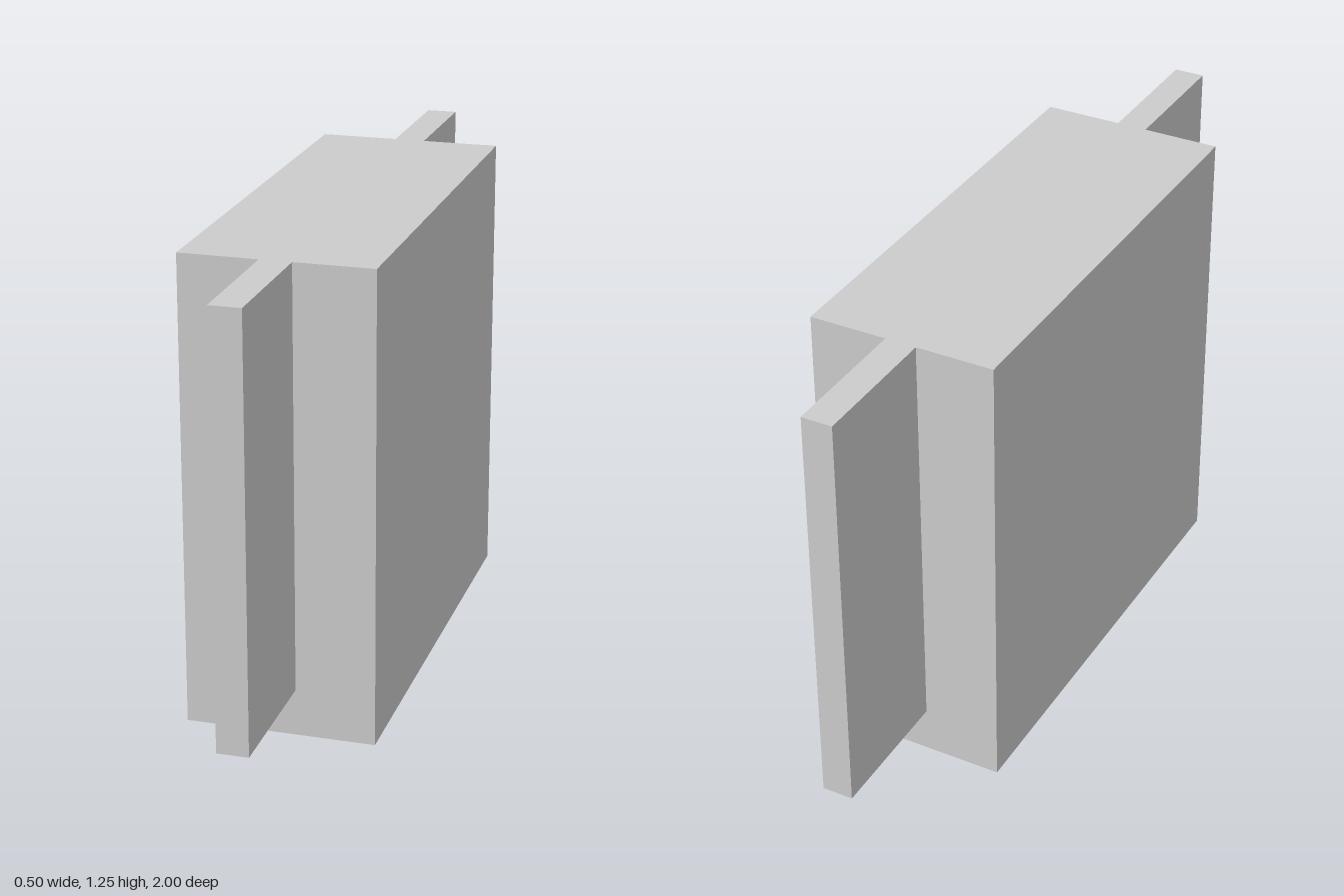
import * as THREE from 'three';

export function createModel() {
  const model = new THREE.Group();
  const material = new THREE.MeshStandardMaterial({ color: 0xcccccc, flatShading: true });

  const height = 1.25, bodyWidth = 0.5, bodyDepth = 1.25;
  const finWidth = 0.083, finBottom = 0.125, finDepth = (2 - bodyDepth) / 2;

  const addBox = (name, w, h, d, y, z) => {
    const mesh = new THREE.Mesh(new THREE.BoxGeometry(w, h, d), material);
    mesh.name = name;
    mesh.position.set(0, y, z);
    model.add(mesh);
  };

  // Solid central block
  addBox('body', bodyWidth, height, bodyDepth, height / 2, 0);

  // Thin upright fins, flush with the top and raised off the ground
  for (const [name, side] of [['frontFin', 1], ['backFin', -1]]) {
    addBox(name, finWidth, height - finBottom, finDepth,
      (height + finBottom) / 2, side * (bodyDepth + finDepth) / 2);
  }

  return model;
}
